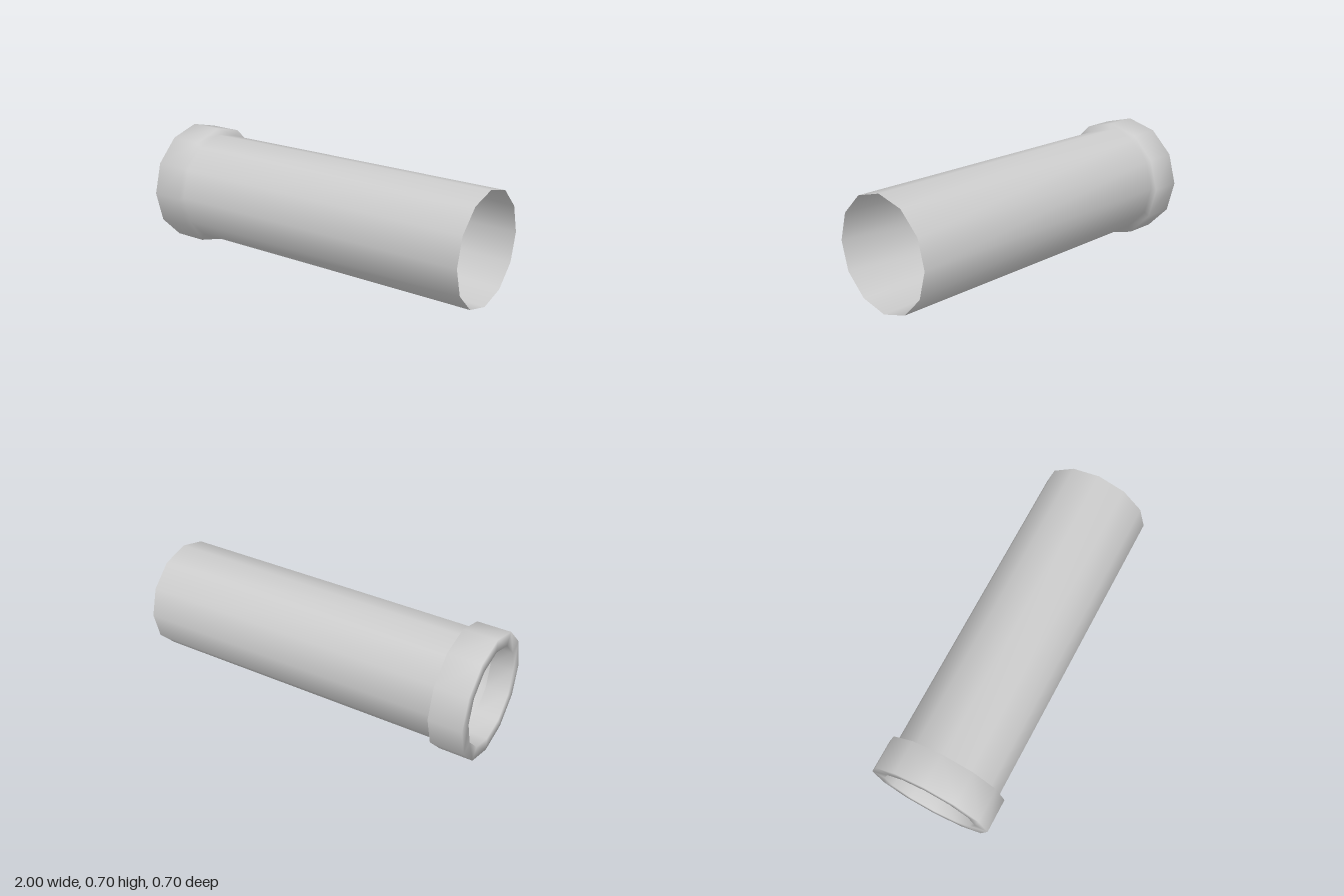
import * as THREE from 'three';
import { mergeVertices } from 'three/addons/utils/BufferGeometryUtils.js';

const SIDES = 12;
const RADIUS = 0.35;

// Smooth, welded surface of revolution about the x axis; profile is [x, radius] from +x to -x
function revolve(profile) {
  const points = profile.map(([x, r]) => new THREE.Vector2(r, -x));
  let geometry = new THREE.LatheGeometry(points, SIDES);
  geometry.deleteAttribute('normal');
  geometry.deleteAttribute('uv');
  geometry = mergeVertices(geometry, 1e-4);
  geometry.rotateZ(Math.PI / 2);
  geometry.computeVertexNormals();
  return geometry;
}

export function createModel() {
  const group = new THREE.Group();
  group.name = 'pipe';
  const material = new THREE.MeshStandardMaterial({ color: 0xcccccc, side: THREE.DoubleSide });

  // Open tube, stepped collar, flat rim and the short sleeve turned inside it
  const pipe = new THREE.Mesh(revolve([
    [1, 0.317],
    [-0.81, 0.313],
    [-0.81, RADIUS],
    [-1, RADIUS],
    [-1, 0.275],
    [-0.87, 0.275],
  ]), material);
  pipe.name = 'tubeWithCollar';
  pipe.position.y = RADIUS;
  group.add(pipe);

  return group;
}
